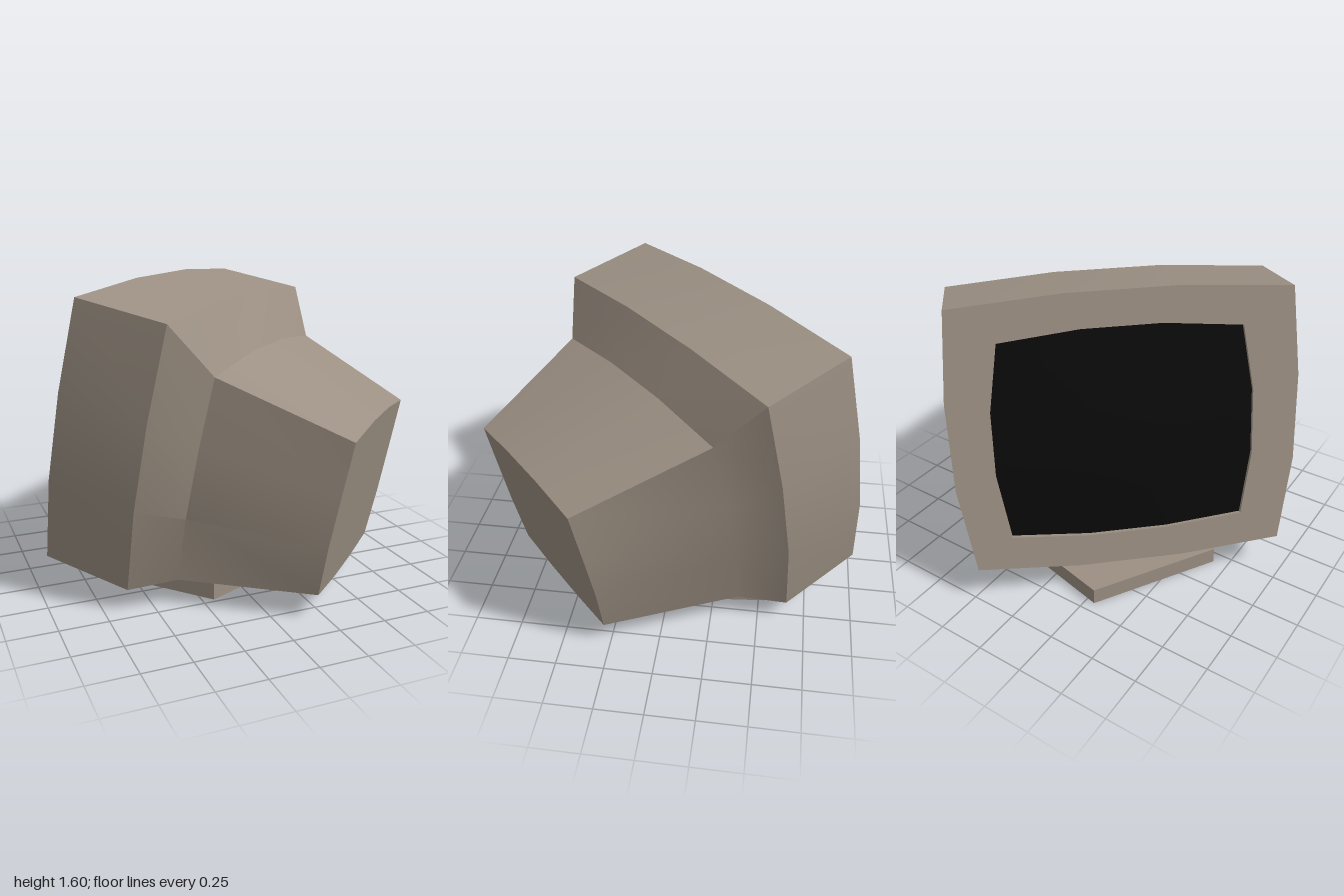
import * as THREE from 'three';
import { toCreasedNormals } from 'three/addons/utils/BufferGeometryUtils.js';

// A section is a 4 x 4 grid with bowed sides: depth z, bottom and top heights,
// half widths from the bottom row to the top row, bow of the lower and upper edges, centre x.
function gridPoint(s, row, col) {
  const side = [-1, -1 / 3, 1 / 3, 1][col];
  const inner = col === 1 || col === 2;
  let y = s.bottom + (s.top - s.bottom) * row / 3;
  if (inner && row === 0) y -= s.bow[0];
  if (inner && row === 3) y += s.bow[1];
  const dome = inner && (row === 1 || row === 2) ? s.dome || 0 : 0;
  return [s.cx + side * s.half[row], y, s.z + dome];
}

// Outline of the grid, counter-clockwise seen from the front
const OUTLINE = [[0, 0], [0, 1], [0, 2], [0, 3], [1, 3], [2, 3], [3, 3], [3, 2], [3, 1], [3, 0], [2, 0], [1, 0]];
const outline = (s) => OUTLINE.map(([r, c]) => gridPoint(s, r, c));

function addQuad(out, a, b, c, d) {
  out.push(...a, ...b, ...c, ...a, ...c, ...d);
}

function addPanel(out, s, facesBack) {
  for (let r = 0; r < 3; r++) {
    for (let c = 0; c < 3; c++) {
      const q = [gridPoint(s, r, c), gridPoint(s, r, c + 1), gridPoint(s, r + 1, c + 1), gridPoint(s, r + 1, c)];
      if (facesBack) q.reverse();
      addQuad(out, ...q);
    }
  }
}

function addLoft(out, sections) {
  const rings = sections.map(outline);
  for (let i = 0; i + 1 < rings.length; i++) {
    const a = rings[i], b = rings[i + 1], n = a.length;
    for (let j = 0; j < n; j++) {
      const k = (j + 1) % n;
      addQuad(out, a[j], a[k], b[k], b[j]);
    }
  }
}

function makeMesh(name, positions, material) {
  const g = new THREE.BufferGeometry();
  g.setAttribute('position', new THREE.Float32BufferAttribute(positions, 3));
  const mesh = new THREE.Mesh(toCreasedNormals(g, Math.PI / 6), material);
  mesh.name = name;
  return mesh;
}

export function createModel() {
  const model = new THREE.Group();
  model.name = 'monitor';
  const plastic = new THREE.MeshStandardMaterial({ color: 0x9c9083 });
  const glass = new THREE.MeshStandardMaterial({ color: 0x0a0a0a });

  // Sections from the tail to the front
  const tail = { z: -0.73, bottom: 0.276, top: 1.091, half: [0.43, 0.467, 0.463, 0.453], bow: [0.025, 0.03], cx: 0.012 };
  const neck = { z: -0.055, bottom: 0.154, top: 1.238, half: [0.63, 0.68, 0.68, 0.648], bow: [0.02, 0.05], cx: -0.034 };
  const frame = { z: 0.135, bottom: 0.093, top: 1.468, half: [0.797, 0.868, 0.878, 0.84], bow: [0.04, 0.04], cx: -0.034 };
  const frameFront = { ...frame, z: 0.621 };
  const opening = { z: 0.621, bottom: 0.26, top: 1.29, half: [0.6, 0.655, 0.655, 0.6], bow: [0.035, 0.04], cx: -0.045 };
  const recess = { ...opening, z: 0.598 };

  // Tilted head, turned away to the rear right corner
  const head = new THREE.Group();
  head.name = 'head';
  head.rotation.set(-0.194, -2.3915, 0, 'YXZ');
  model.add(head);

  // Casing with closed tail and recessed screen opening
  const casing = [];
  addPanel(casing, tail, true);
  addLoft(casing, [tail, neck, frame, frameFront, opening, recess]);
  head.add(makeMesh('casing', casing, plastic));

  // Domed screen
  const screen = [];
  addPanel(screen, { ...recess, dome: 0.092 }, false);
  head.add(makeMesh('screen', screen, glass));

  // Five-sided foot
  const foot = new THREE.Mesh(
    toCreasedNormals(new THREE.CylinderGeometry(0.619, 0.619, 0.09, 5), Math.PI / 6), plastic);
  foot.name = 'foot';
  foot.position.set(-0.054, 0.045, -0.124);
  foot.rotation.y = -0.2215;
  model.add(foot);

  return model;
}
